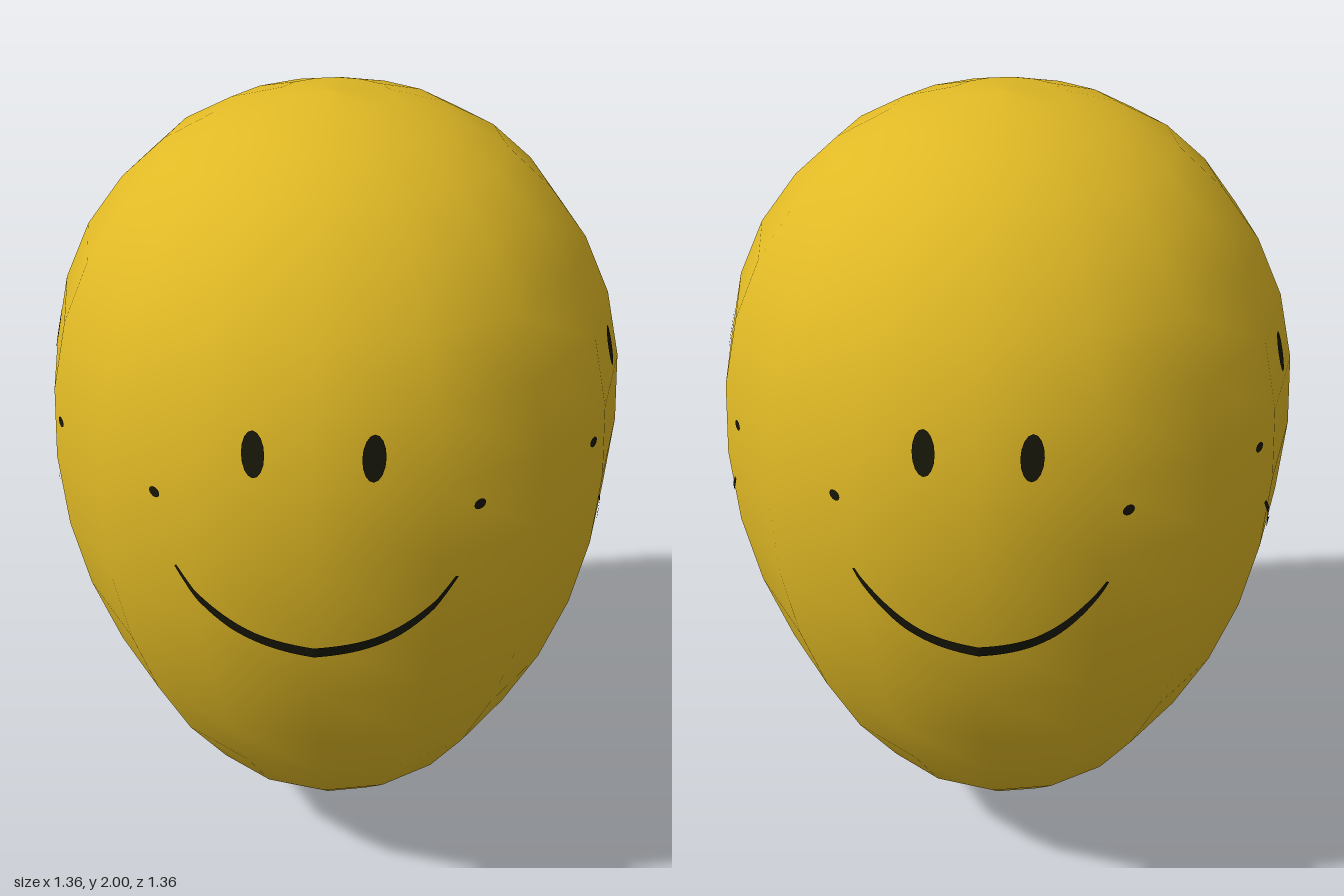
import * as THREE from 'three';

const yellow = new THREE.MeshStandardMaterial({ color: 0xe0b925 });
yellow.name = 'balloonYellow';
const ink = new THREE.MeshStandardMaterial({ color: 0x18170a });
ink.name = 'faceInk';

const SIDES = 16;
// Balloon outline as [radius, height], bottom to top
const BODY = [
  [0.008, 0.08], [0.26, 0.185], [0.38, 0.305], [0.485, 0.465], [0.57, 0.645],
  [0.632, 0.835], [0.668, 1.02], [0.68, 1.21], [0.668, 1.385], [0.63, 1.545],
  [0.567, 1.68], [0.48, 1.795], [0.38, 1.885], [0.26, 1.95], [0.13, 1.99], [0, 2],
];
const KNOT = [[0, 0], [0.062, 0.045], [0.008, 0.085]];

function lathe(name, profile) {
  const points = profile.map(([r, y]) => new THREE.Vector2(r, y));
  const mesh = new THREE.Mesh(new THREE.LatheGeometry(points, SIDES), yellow);
  mesh.name = name;
  return mesh;
}

// Radius of the balloon at a given height
function radiusAt(y) {
  const i = BODY.findIndex((p) => p[1] >= y);
  const [r0, y0] = BODY[i - 1], [r1, y1] = BODY[i];
  return r0 + ((r1 - r0) * (y - y0)) / (y1 - y0);
}

// Depth of the faceted surface at sideways distance u and height y
function depthAt(u, y) {
  const half = Math.PI / SIDES;
  let depth = Infinity;
  for (let k = 0; k < 3; k++) {
    const a = half * (2 * k + 1);
    depth = Math.min(depth, (radiusAt(y) * Math.cos(half) - Math.sin(a) * Math.abs(u)) / Math.cos(a));
  }
  return depth;
}

// Lay a flat shape onto the balloon, just above its skin
function wrap(name, geometry) {
  const p = geometry.attributes.position;
  for (let i = 0; i < p.count; i++) p.setZ(i, depthAt(p.getX(i), p.getY(i)) + 0.004);
  geometry.computeVertexNormals();
  const mesh = new THREE.Mesh(geometry, ink);
  mesh.name = name;
  return mesh;
}

function spot(name, x, y, rx, ry) {
  return wrap(name, new THREE.CircleGeometry(1, 16).scale(rx, ry, 1).translate(x, y, 0));
}

// Curved mouth that thins towards its corners
function smile(width, shift) {
  const g = new THREE.PlaneGeometry(2, 1, 48, 1);
  const p = g.attributes.position;
  for (let i = 0; i < p.count; i++) {
    const t = p.getX(i), side = p.getY(i);
    const slope = (0.173 * 2.6 * Math.sign(t) * Math.abs(t) ** 1.6) / (0.3 * width);
    const thick = 0.007 + 0.022 * (1 - t * t);
    const n = Math.hypot(1, slope);
    p.setXY(i,
      0.3 * width * t + shift - (slope / n) * side * thick,
      0.987 + 0.173 * Math.abs(t) ** 2.6 + (side * thick) / n);
  }
  return wrap('smile', g);
}

function face(name, angle, width, shift) {
  const group = new THREE.Group();
  group.name = name;
  for (const s of [-1, 1]) {
    group.add(spot('eye', s * 0.122 * width + shift, 1.46, 0.024, 0.049));
    group.add(spot('cheekDot', s * 0.34 * width + shift, 1.323, 0.012, 0.012));
  }
  group.add(smile(width, shift));
  group.rotation.y = angle;
  return group;
}

export function createModel() {
  const model = new THREE.Group();
  model.name = 'smileyBalloon';
  model.add(lathe('balloonBody', BODY), lathe('knot', KNOT));
  // A smiling face on each of the four sides
  model.add(
    face('frontFace', 0, 1, 0),
    face('leftFace', Math.PI / 2, 0.93, 0.012),
    face('backFace', Math.PI, 0.9, 0),
    face('rightFace', -Math.PI / 2, 0.9, -0.01),
  );
  return model;
}
